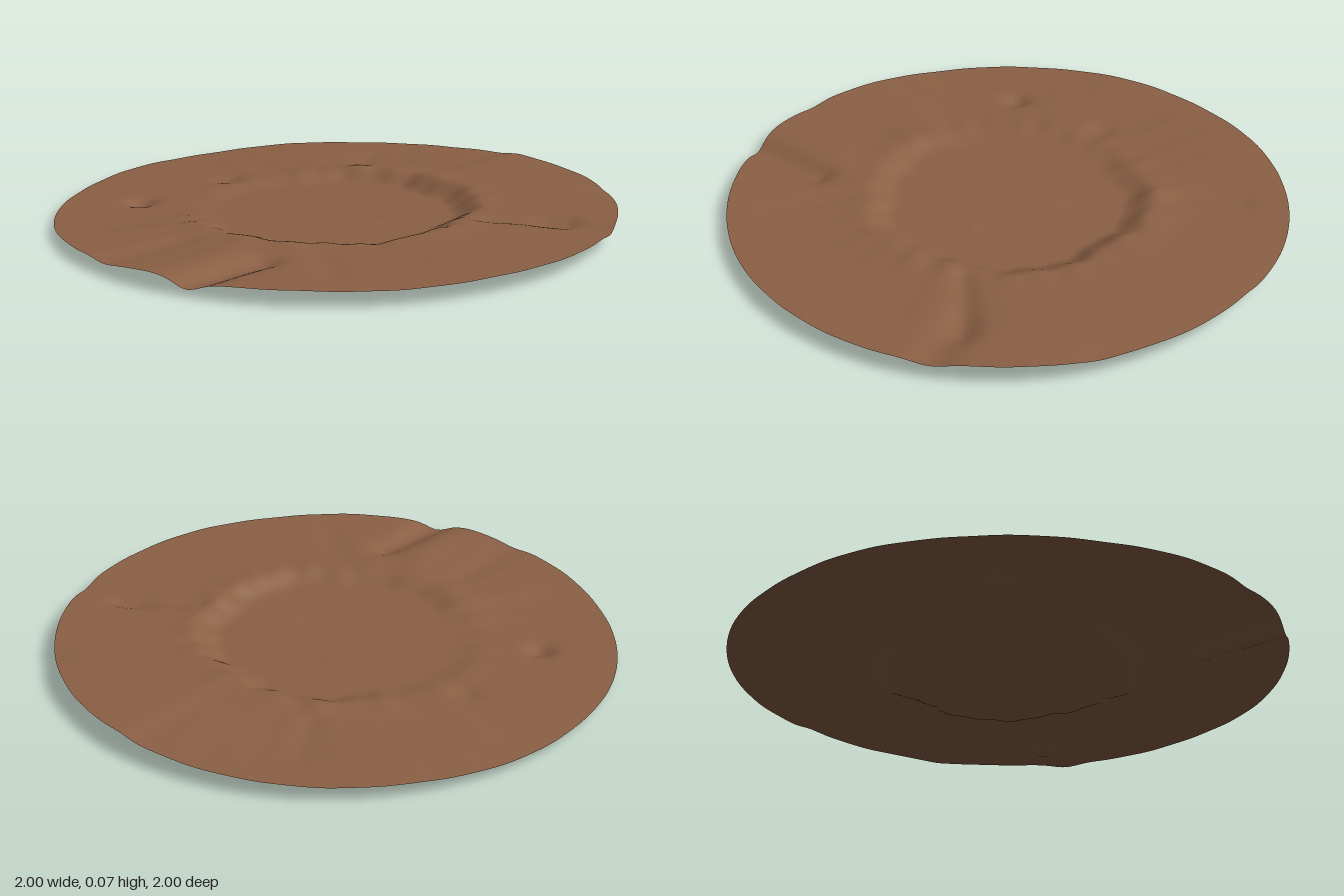
import * as THREE from 'three';

const RINGS = 110, SEGS = 260;
const smooth = THREE.MathUtils.smoothstep;

// Height of the outer land every 45 degrees: E, SE, S, SW, W, NW, N, NE
const LAND = [0.074, 0.069, 0.060, 0.053, 0.050, 0.026, 0.035, 0.050];

// Round mounds and pits: x, z, radius, height
const BUMPS = [
  [-0.41, -0.60, 0.05, -0.026], [0.01, -0.60, 0.045, -0.010],
  [0.42, -0.31, 0.06, 0.009], [0.50, -0.08, 0.04, -0.006],
  [-0.05, 0.47, 0.07, 0.007], [0.15, 0.49, 0.05, 0.008],
  [0.15, -0.10, 0.025, 0.003], [0.00, 0.20, 0.03, 0.003],
  [0.80, 0.59, 0.06, -0.006], [-0.55, 0.10, 0.05, 0.004],
];

// Gullies and ridges: start x, z, end x, z, half width, height
const CHANNELS = [
  [-0.64, 0.31, -1.10, 0.30, 0.055, -0.026],
  [-0.66, 0.16, -1.10, 0.17, 0.08, 0.009],
  [-0.66, -0.06, -1.10, -0.05, 0.07, -0.010],
  [0.20, 0.50, 0.38, 0.74, 0.045, -0.015],
  [0.34, 0.70, 0.42, 1.10, 0.07, -0.014],
  [0.52, -0.36, 0.70, -0.46, 0.04, -0.005],
  [0.10, -0.55, 0.20, -0.80, 0.05, 0.004],
  [-0.45, 0.38, -0.60, 0.60, 0.05, -0.004],
  [-0.52, -0.20, -0.70, -0.30, 0.05, 0.004],
];

function landHeight(angle) {
  const t = ((angle / (Math.PI / 4)) % 8 + 8) % 8;
  const i = Math.floor(t), f = smooth(t - i, 0, 1);
  return LAND[i] * (1 - f) + LAND[(i + 1) % 8] * f;
}

function segmentDistance(x, z, [ax, az, bx, bz]) {
  const dx = bx - ax, dz = bz - az;
  const t = THREE.MathUtils.clamp(((x - ax) * dx + (z - az) * dz) / (dx * dx + dz * dz), 0, 1);
  return Math.hypot(x - ax - t * dx, z - az - t * dz);
}

function height(x, z) {
  const r = Math.hypot(x, z), a = Math.atan2(z, x);
  // Flat basin with a scalloped wall rising to the land around it
  const wobble = 0.012 * Math.sin(5 * a + 1) + 0.008 * Math.sin(11 * a) + 0.005 * Math.sin(23 * a + 2);
  const outside = smooth(r + wobble, 0.40, 0.52);
  let y = 0.024 + (landHeight(a) - 0.024) * outside;
  // Low shelf on the east side
  y -= 0.010 * smooth(x, 0.45, 0.65) * smooth(-z, -0.05, 0.06) * smooth(z, -0.7, -0.2);
  // Worn rim and gently rolling land
  const rim = Math.exp(-(((r - 0.53) / 0.06) ** 2));
  y += rim * (0.003 + 0.0015 * Math.sin(17 * a + 0.5) + 0.0015 * Math.sin(29 * a));
  y += outside * (0.0012 * Math.sin(9 * x + 4 * z) + 0.001 * Math.sin(13 * z - 6 * x + 1)
    + 0.0006 * Math.sin(31 * a + 7 * r));
  for (const [bx, bz, radius, h] of BUMPS) {
    y += h * Math.exp(-((x - bx) ** 2 + (z - bz) ** 2) / (radius * radius));
  }
  for (const c of CHANNELS) y += c[5] * Math.exp(-((segmentDistance(x, z, c) / c[4]) ** 2));
  return y;
}

// Round sheet of concentric rings lifted by the height rule
function terrainGeometry() {
  const points = [0, height(0, 0), 0], index = [];
  for (let i = 1; i <= RINGS; i++) {
    for (let j = 0; j < SEGS; j++) {
      const a = (j / SEGS) * Math.PI * 2, r = i / RINGS;
      const x = r * Math.cos(a), z = r * Math.sin(a);
      points.push(x, height(x, z), z);
    }
  }
  const at = (i, j) => 1 + (i - 1) * SEGS + (j % SEGS);
  for (let j = 0; j < SEGS; j++) {
    index.push(0, at(1, j + 1), at(1, j));
    for (let i = 1; i < RINGS; i++) {
      const p = at(i, j), q = at(i, j + 1), s = at(i + 1, j), t = at(i + 1, j + 1);
      index.push(p, q, s, q, t, s);
    }
  }
  const geometry = new THREE.BufferGeometry();
  geometry.setAttribute('position', new THREE.Float32BufferAttribute(points, 3));
  geometry.setIndex(index);
  geometry.computeBoundingBox();
  geometry.translate(0, -geometry.boundingBox.min.y, 0);
  geometry.computeVertexNormals();
  return geometry;
}

export function createModel() {
  const group = new THREE.Group();
  group.name = 'craterLandscape';
  const soil = new THREE.MeshStandardMaterial({ color: 0x8b6045, side: THREE.DoubleSide });
  soil.name = 'brown soil';
  const terrain = new THREE.Mesh(terrainGeometry(), soil);
  terrain.name = 'terrain';
  group.add(terrain);
  return group;
}
